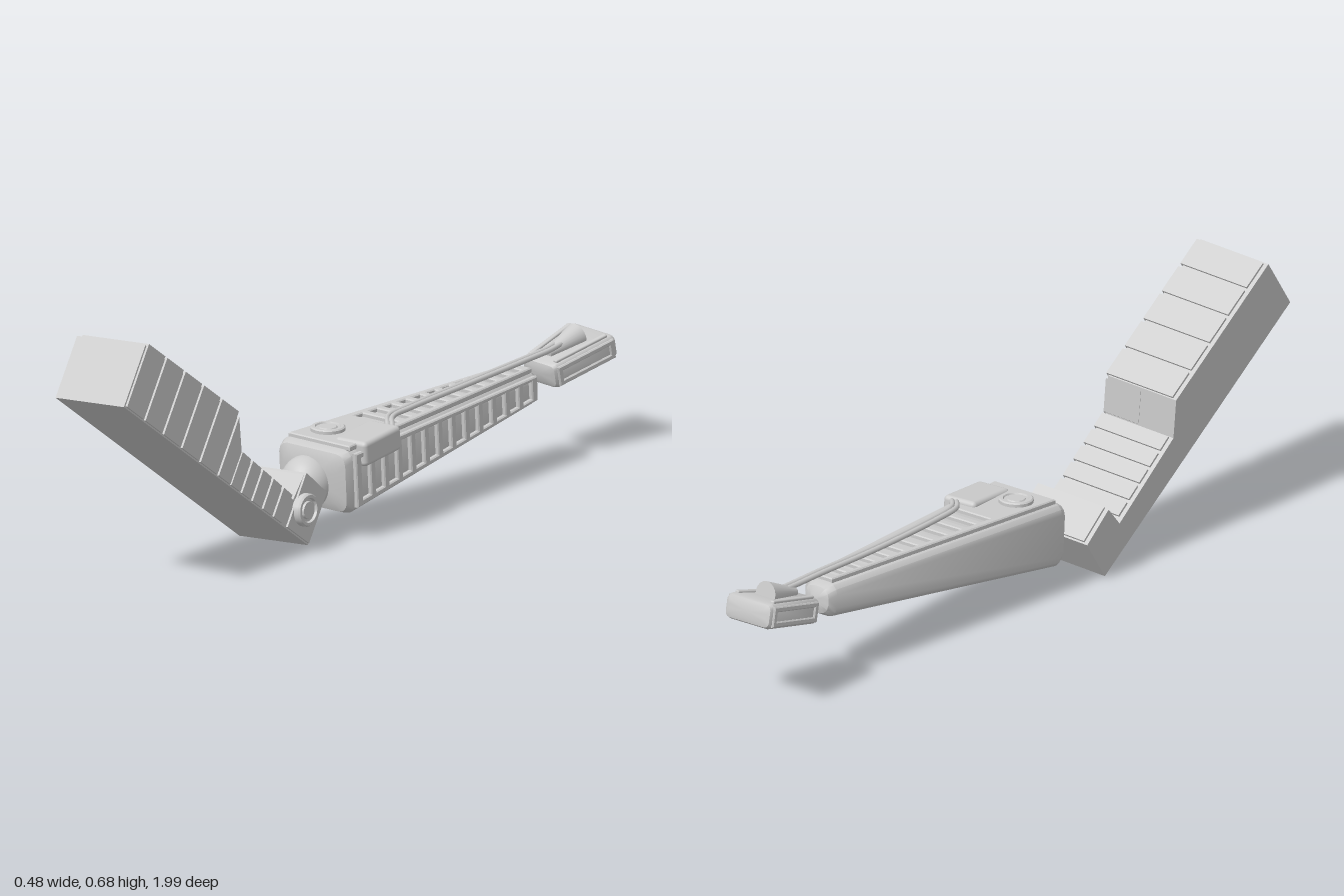
import * as THREE from 'three';
import { toCreasedNormals } from 'three/addons/utils/BufferGeometryUtils.js';
import { RoundedBoxGeometry } from 'three/addons/geometries/RoundedBoxGeometry.js';

const mat = new THREE.MeshStandardMaterial({ color: 0xcccccc });
const V = (x, y, z) => new THREE.Vector3(x, y, z);
const lerp = THREE.MathUtils.lerp;

function add(parent, name, geometry, x = 0, y = 0, z = 0) {
  const m = new THREE.Mesh(geometry, mat);
  m.name = name;
  m.position.set(x, y, z);
  parent.add(m);
  return m;
}

// Group whose local z runs along a given direction, with x kept close to a hint
function frame(name, origin, zDir, xHint = V(1, 0, 0)) {
  const g = new THREE.Group();
  g.name = name;
  const z = zDir.clone().normalize();
  const y = z.clone().cross(xHint).normalize();
  const x = y.clone().cross(z);
  g.quaternion.setFromRotationMatrix(new THREE.Matrix4().makeBasis(x, y, z));
  g.position.copy(origin);
  return g;
}

// Tapered bar with rounded long edges and bevelled ends, running from z = 0 to z = -len
function taperedBar(len, hw0, hw1, hh0, hh1, r, bevel) {
  const pos = [], idx = [], steps = 3, n = 4 * (steps + 1);
  const stations = [[0, bevel], [bevel * 0.3, bevel * 0.3], [bevel, 0],
    [len - bevel, 0], [len - bevel * 0.3, bevel * 0.3], [len, bevel]];
  for (const [s, inset] of stations) {
    const w = lerp(hw0, hw1, s / len) - inset, h = lerp(hh0, hh1, s / len) - inset;
    const rr = Math.min(r, w * 0.9, h * 0.9);
    for (let c = 0; c < 4; c++) {
      const sx = c === 0 || c === 3 ? 1 : -1, sy = c < 2 ? 1 : -1;
      for (let k = 0; k <= steps; k++) {
        const a = (c + k / steps) * Math.PI / 2;
        pos.push(sx * (w - rr) + rr * Math.cos(a), sy * (h - rr) + rr * Math.sin(a), -s);
      }
    }
  }
  const last = (stations.length - 1) * n, mid = pos.length / 3;
  pos.push(0, 0, 0, 0, 0, -len);
  for (let j = 0; j < n; j++) {
    const k = (j + 1) % n;
    for (let i = 0; i < last; i += n) idx.push(i + j, i + n + j, i + k, i + k, i + n + j, i + n + k);
    idx.push(mid, j, k, mid + 1, last + k, last + j);
  }
  const g = new THREE.BufferGeometry();
  g.setAttribute('position', new THREE.Float32BufferAttribute(pos, 3));
  g.setIndex(idx);
  return toCreasedNormals(g, 0.6);
}

// Tapered plate with a row of windows, laid on a face
function ladderPlate(parent, name, o) {
  const { origin, along, normal, len, w0, w1, cells, from, to, fill, gap, depth } = o;
  const quad = (path, a, b, k) => {
    const wa = lerp(w0, w1, a / len) * k, wb = lerp(w0, w1, b / len) * k;
    path.moveTo(-wa, a); path.lineTo(wa, a); path.lineTo(wb, b); path.lineTo(-wb, b);
    path.closePath();
    return path;
  };
  const shape = quad(new THREE.Shape(), 0, len, 1), step = (to - from) / cells;
  for (let i = 0; i < cells; i++) {
    const a = from + i * step;
    shape.holes.push(quad(new THREE.Path(), a + gap / 2, a + step - gap / 2, fill));
  }
  const geo = new THREE.ExtrudeGeometry(shape, { depth: depth - 0.003, bevelThickness: 0.003, bevelSize: 0.003, bevelSegments: 1 });
  const y = along.clone().normalize();
  const x = y.clone().cross(normal).normalize();
  const z = x.clone().cross(y);
  const m = add(parent, name, geo);
  m.quaternion.setFromRotationMatrix(new THREE.Matrix4().makeBasis(x, y, z));
  m.position.copy(origin);
}

// Side profile (length, height) extruded across x from x0 to x1
function slab(points, x0, x1) {
  const shape = new THREE.Shape(points.map(([u, v]) => new THREE.Vector2(u, v)));
  const g = new THREE.ExtrudeGeometry(shape, { depth: x1 - x0, bevelEnabled: false });
  return g.rotateY(-Math.PI / 2).translate(x1, 0, 0);
}

// Short round cap with a raised ring
function roundCap(parent, name, r, h) {
  const pts = [[r, -0.01], [r, h * 0.7], [r * 0.92, h], [r * 0.75, h], [r * 0.7, h * 0.6], [r * 0.55, h * 0.6], [r * 0.5, h * 0.9], [0, h * 0.9]];
  return add(parent, name, toCreasedNormals(new THREE.LatheGeometry(pts.map(p => new THREE.Vector2(...p)), 28), 0.5));
}

// Stepped block with a heel, a low deck and a tall toe
function makeSteppedBlock() {
  const g = frame('steppedBlock', V(-0.027, 0.008, 0.26), V(-0.101, 0.524, 0.723), V(0.222, 0.012, 0.02));
  const hw = 0.113;
  add(g, 'blockCore', slab([[0, 0], [0, 0.14], [0.11, 0.15], [0.118, 0.076], [0.388, 0.09],
    [0.452, 0.173], [0.9, 0.173], [0.9, 0]], -hw, hw - 0.006));
  // Raised panels wrap over the top and one side
  const panels = (name, count, u0, u1, v0, v1) => {
    const step = (u1 - u0) / count;
    for (let i = 0; i < count; i++) {
      const a = u0 + i * step + 0.005, b = u0 + (i + 1) * step - 0.005;
      const h = u => lerp(v0, v1, (u - u0) / (u1 - u0));
      add(g, name, slab([[a, 0.004], [a, h(a)], [b, h(b)], [b, 0.004]], -hw + 0.012, hw));
    }
  };
  panels('toePanel', 5, 0.45, 0.9, 0.179, 0.179);
  panels('deckPanel', 5, 0.13, 0.39, 0.083, 0.096);
  panels('heelPanel', 1, 0, 0.115, 0.146, 0.156);
  add(g, 'stepPanel', slab([[0.39, 0.004], [0.39, 0.094], [0.446, 0.167], [0.446, 0.004]], 0, hw));
  // Pivot on the heel
  const pivot = roundCap(g, 'heelPivot', 0.043, 0.018);
  pivot.rotation.z = -Math.PI / 2;
  pivot.position.set(hw, 0.07, 0.07);
  return g;
}

// Long tapered arm with windowed top and side
function makeArm() {
  const L = 0.87, t = 0.012, hw0 = 0.125, hw1 = 0.053, hh0 = 0.093, hh1 = 0.05;
  const g = frame('arm', V(0.015, 0.157, 0.145), V(-0.117, -0.065, 0.86));
  add(g, 'armCore', taperedBar(L, hw0 - t / 2, hw1 - t / 2, hh0 - t / 2, hh1 - t / 2, 0.028, 0.03), -t / 2, -t / 2, 0);
  const s = 0.035, len = L - 2 * s;
  const hw = q => lerp(hw0, hw1, q / L), hh = q => lerp(hh0, hh1, q / L);
  ladderPlate(g, 'topLadder', {
    origin: V(0, hh(s) - t - 0.001, -s), along: V(0, (hh1 - hh0) / L, -1), normal: V(0, 1, 0), len,
    w0: hw(s) - 0.024, w1: hw(L - s) - 0.024, cells: 11, from: 0.2, to: len - 0.015, fill: 0.8, gap: 0.016, depth: t });
  ladderPlate(g, 'sideLadder', {
    origin: V(hw(s) - t - 0.001, 0, -s), along: V((hw1 - hw0) / L, 0, -1), normal: V(1, 0, 0), len,
    w0: hh(s) - 0.022, w1: hh(L - s) - 0.022, cells: 13, from: 0.01, to: len - 0.01, fill: 0.86, gap: 0.016, depth: t });
  // Cable bracket on the corner and round cap on top
  add(g, 'cableBracket', new RoundedBoxGeometry(0.1, 0.066, 0.16, 3, 0.012), 0.071, 0.061, -0.14).rotation.y = 0.08;
  const cap = roundCap(g, 'topCap', 0.045, 0.01);
  cap.position.set(-0.035, hh(0.11), -0.11);
  cap.rotation.x = -0.05;
  return g;
}

// Flared end piece with a cone-shaped cable socket
function makeEndPiece() {
  const L = 0.215, hw0 = 0.063, hw1 = 0.086, hh = 0.034, t = 0.006;
  const g = frame('endPiece', V(0.118, 0.222, -0.78), V(-0.042, -0.05, 0.205));
  add(g, 'endCore', taperedBar(L, hw0 - t, hw1 - t, hh, hh, 0.014, 0.014));
  for (const side of [1, -1]) {
    const along = V(side * (hw1 - hw0) / L, 0, -1);
    ladderPlate(g, 'endSideFrame', {
      origin: V(side * (hw0 - t), 0, -0.015), along, normal: V(side, 0, 0), len: L - 0.03,
      w0: 0.024, w1: 0.024, cells: 1, from: 0.005, to: L - 0.035, fill: 0.65, gap: 0.01, depth: t });
    const rail = add(g, 'endTopRail', new RoundedBoxGeometry(0.014, 0.012, L - 0.04, 2, 0.004), side * 0.052, hh, -L / 2);
    rail.rotation.y = -side * 0.11;
  }
  const socket = add(g, 'cableSocket', new THREE.CylinderGeometry(0.012, 0.034, 0.11, 24), 0.002, hh + 0.006, -0.095);
  socket.rotation.x = Math.PI / 2;
  return g;
}

export function createModel() {
  const model = new THREE.Group();
  model.name = 'model';
  model.add(makeSteppedBlock(), makeArm(), makeEndPiece());
  add(model, 'ballJoint', new THREE.SphereGeometry(0.07, 32, 20), -0.002, 0.14, 0.14);
  // Twin cables from the bracket along the arm to the end piece
  for (const dx of [-0.007, 0.007]) {
    const path = new THREE.CatmullRomCurve3([V(0.14, 0.22, 0), V(0.125, 0.255, -0.05), V(0.09, 0.266, -0.11),
      V(0.088, 0.268, -0.2), V(0.105, 0.273, -0.45), V(0.13, 0.282, -0.7), V(0.137, 0.285, -0.79), V(0.138, 0.29, -0.85)]
      .map(p => p.add(V(dx, 0, 0))));
    add(model, 'cable', new THREE.TubeGeometry(path, 80, 0.007, 8));
  }
  return model;
}
